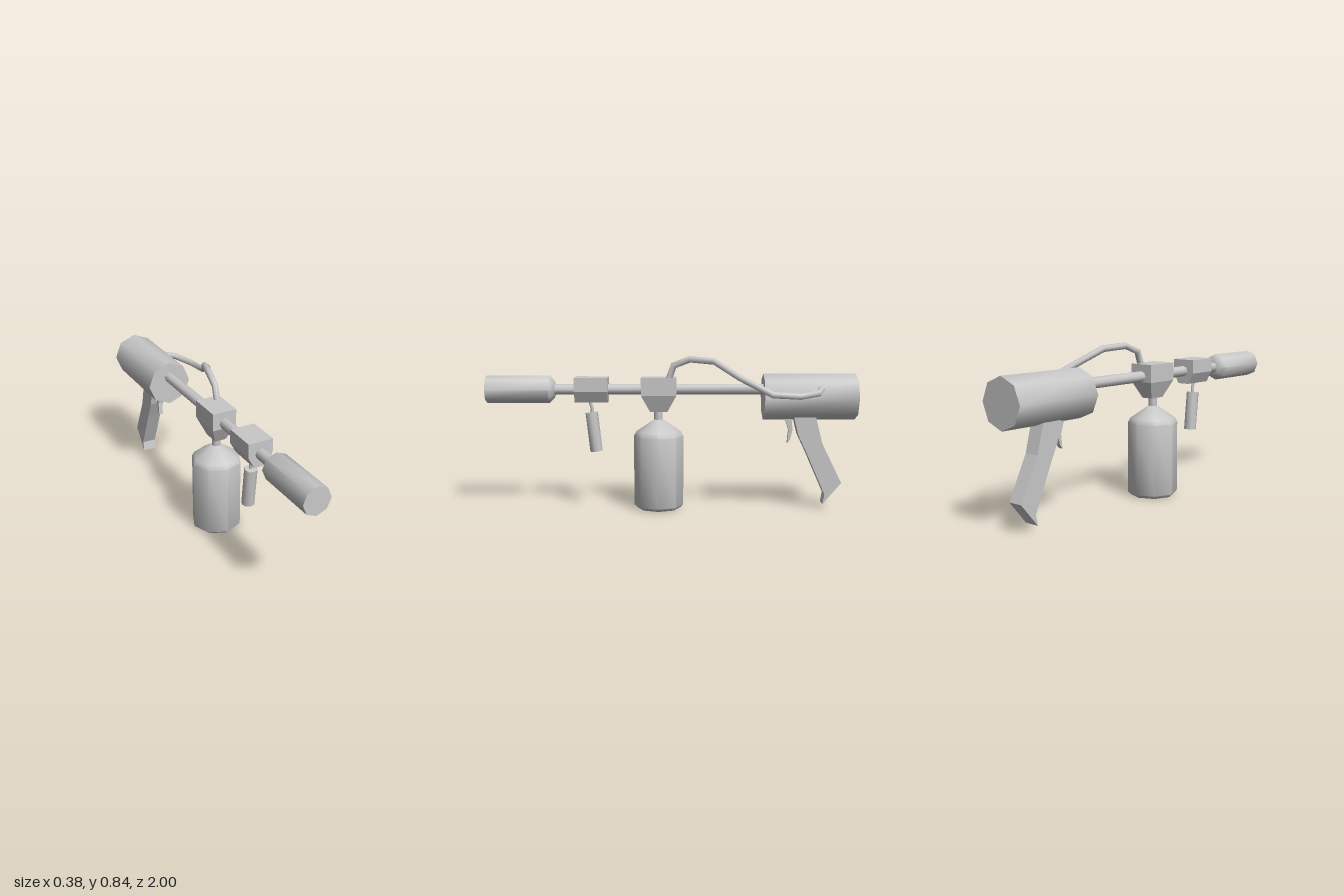
import * as THREE from 'three';
import { toCreasedNormals } from 'three/addons/utils/BufferGeometryUtils.js';

const AXIS_X = -0.058;
const V = (x, y, z) => new THREE.Vector3(x, y, z);

export function createModel() {
  const model = new THREE.Group();
  const grey = new THREE.MeshStandardMaterial({ color: 0xc8c8c8 });
  grey.name = 'plain grey';

  function add(name, geometry, x = 0, y = 0, z = 0) {
    const mesh = new THREE.Mesh(geometry, grey);
    mesh.name = name;
    mesh.position.set(x, y, z);
    model.add(mesh);
    return mesh;
  }

  // Eight-sided turned solid from [radius, height] pairs, bottom to top
  function turned(profile) {
    const points = profile.map(([r, h]) => new THREE.Vector2(r, h));
    return toCreasedNormals(new THREE.LatheGeometry(points, 8), 0.8);
  }

  // Block whose lower part narrows below the height "mid"
  function taperedBlock(width, depth, top, mid, bottom, sx, sz) {
    const g = new THREE.BoxGeometry(width, 2, depth, 1, 2, 1);
    const p = g.attributes.position;
    for (let i = 0; i < p.count; i++) {
      const level = Math.round(p.getY(i));
      if (level < 0) {
        p.setX(i, p.getX(i) * sx);
        p.setZ(i, p.getZ(i) * sz);
      }
      p.setY(i, level > 0 ? top : level < 0 ? bottom : mid);
    }
    return toCreasedNormals(g, 0.1);
  }

  // Side outline of [z, y] pairs, thickened along x
  function plate(outline, thickness) {
    const shape = new THREE.Shape(outline.map(([z, y]) => new THREE.Vector2(z, y)));
    const g = new THREE.ExtrudeGeometry(shape, { depth: thickness, bevelEnabled: false });
    return g.translate(0, 0, -thickness / 2).rotateY(-Math.PI / 2);
  }

  // Tube with its rings exactly on the given points
  function tube(points, radius, sides) {
    const curve = new THREE.CatmullRomCurve3(points);
    curve.getPointAt = curve.getPoint;
    curve.getTangentAt = curve.getTangent;
    return new THREE.TubeGeometry(curve, points.length - 1, radius, sides);
  }

  // Rear body, barrel and nozzle along z
  add('rearBody', turned([[0, -1], [0.125, -1], [0.125, -0.5], [0, -0.5]])
    .rotateX(Math.PI / 2), AXIS_X, 0.615, 0);
  add('barrel', turned([[0, -0.52], [0.029, -0.52], [0.029, 0.66], [0, 0.66]])
    .rotateX(Math.PI / 2), AXIS_X, 0.655, 0);
  add('nozzle', turned([[0, 0.63], [0.045, 0.63], [0.075, 0.658], [0.075, 1], [0, 1]])
    .rotateX(Math.PI / 2), AXIS_X, 0.655, 0);

  // Blocks on the barrel
  add('frontBlock', taperedBlock(0.134, 0.18, 0.72, 0.645, 0.585, 0.5, 1), AXIS_X, 0, 0.43);
  add('valveBlock', taperedBlock(0.134, 0.19, 0.72, 0.625, 0.535, 0.45, 0.5), AXIS_X, 0, 0.066);

  // Tank hanging below the valve block
  add('tank', turned([[0, 0], [0.117, 0], [0.135, 0.017], [0.135, 0.4], [0.122, 0.425],
    [0.025, 0.49], [0, 0.49]]), AXIS_X, 0, 0.067);
  add('tankNeck', new THREE.CylinderGeometry(0.023, 0.023, 0.08, 8), AXIS_X, 0.51, 0.069);

  // Small tilted cartridge and its pin
  const cartridge = add('cartridge', turned([[0, -0.107], [0.034, -0.107], [0.034, 0.107], [0, 0.107]]),
    AXIS_X, 0.422, 0.42);
  cartridge.rotation.x = 0.11;
  add('cartridgePin', tube([V(0, 0.6, 0.438), V(0, 0.575, 0.436), V(0, 0.55, 0.428),
    V(0, 0.515, 0.43)], 0.009, 8), AXIS_X);

  // Grip and trigger
  add('grip', plate([[-0.668, 0.53], [-0.668, 0.5], [-0.69, 0.41], [-0.738, 0.31], [-0.84, 0.08],
    [-0.83, 0.027], [-0.93, 0.145], [-0.823, 0.36], [-0.786, 0.5], [-0.786, 0.53]], 0.08), AXIS_X);
  add('trigger', plate([[-0.615, 0.53], [-0.618, 0.5], [-0.641, 0.435], [-0.634, 0.36],
    [-0.65, 0.38], [-0.663, 0.435], [-0.655, 0.5], [-0.655, 0.53]], 0.024), AXIS_X);

  // Hose from the valve block to the side of the rear body
  add('hose', tube([V(-0.022, 0.7, 0.015), V(-0.02, 0.785, -0.015), V(-0.008, 0.82, -0.1),
    V(0.03, 0.81, -0.23), V(0.115, 0.73, -0.36), V(0.172, 0.645, -0.53), V(0.162, 0.637, -0.67),
    V(0.11, 0.65, -0.775), V(0.04, 0.665, -0.8)], 0.018, 8));

  return model;
}
